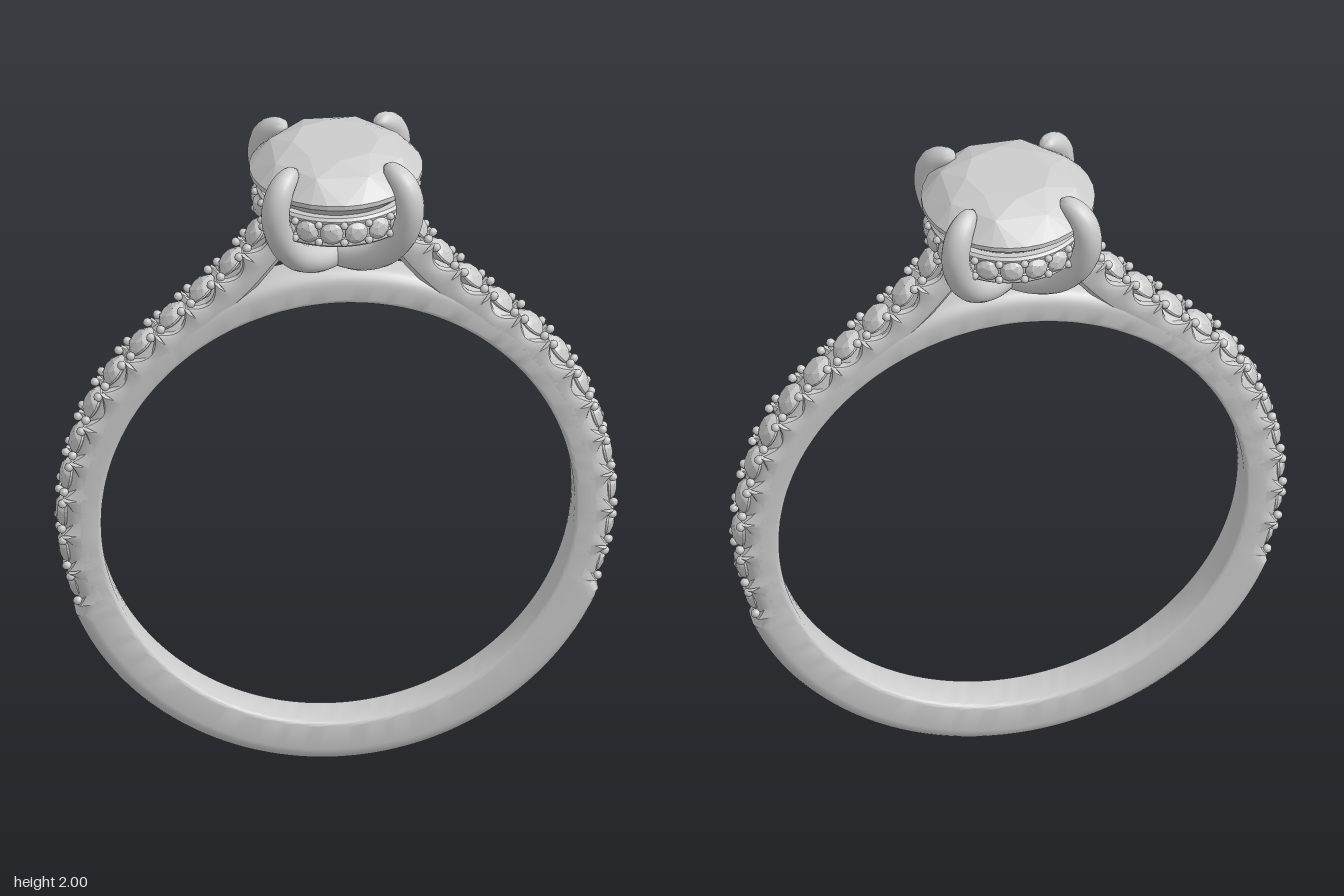
import * as THREE from 'three';
import { mergeGeometries, toCreasedNormals } from 'three/addons/utils/BufferGeometryUtils.js';
import { ConvexGeometry } from 'three/addons/geometries/ConvexGeometry.js';

const silver = new THREE.MeshStandardMaterial({ name: 'silver grey', color: 0xcccccc });
const V = (x, y, z) => new THREE.Vector3(x, y, z);

function mesh(name, geometry) {
  const m = new THREE.Mesh(geometry, silver);
  m.name = name;
  return m;
}

// Skin between cross-sections; each is a loop counter-clockwise about the path
function loft(sections, closed = false, crease = 0.6) {
  const n = sections[0].length, rows = sections.length, idx = [];
  const pos = sections.flat().flatMap((p) => [p.x, p.y, p.z]);
  for (let i = 0; i < (closed ? rows : rows - 1); i++) {
    const k = (i + 1) % rows;
    for (let j = 0; j < n; j++) {
      const q = (j + 1) % n;
      const a = i * n + j, b = i * n + q, c = k * n + j, d = k * n + q;
      idx.push(a, b, c, b, d, c);
    }
  }
  if (!closed) {
    const e = (rows - 1) * n;
    for (let j = 1; j < n - 1; j++) idx.push(0, j + 1, j, e, e + j, e + j + 1);
  }
  const g = new THREE.BufferGeometry();
  g.setAttribute('position', new THREE.Float32BufferAttribute(pos, 3));
  g.setIndex(idx);
  return toCreasedNormals(g, crease);
}

// Place [outward, z] pairs around a path point; the path lies in the xy plane
function section(p, t, pairs) {
  return pairs.map(([o, z]) => V(p.x + t.y * o, p.y - t.x * o, z));
}

// Faceted stone, girdle at y = 0
function stone(r, n, tableR, crown, pavilion, girdle) {
  const pts = [V(0, -pavilion, 0)];
  const ring = (count, radius, y, shift) => {
    for (let i = 0; i < count; i++) {
      const a = ((i + shift) / count) * Math.PI * 2;
      pts.push(V(Math.cos(a) * radius, y, Math.sin(a) * radius));
    }
  };
  ring(n, tableR, crown, 0);
  ring(n, r * 0.58 + tableR * 0.42, crown * 0.68, 0.5);
  ring(n * 4, r, 0, 0);
  ring(n * 4, r, -girdle, 0);
  return new ConvexGeometry(pts);
}

// Turn a geometry's y axis to a direction and move it
function placed(geometry, p, dir) {
  const q = new THREE.Quaternion().setFromUnitVectors(V(0, 1, 0), dir);
  return geometry.clone().applyQuaternion(q).translate(p.x, p.y, p.z);
}

function makeBand() {
  const rows = [], steps = 180, w = 0.066, inner = 0.6825;
  for (let i = 0; i < steps; i++) {
    const deg = (i / steps) * 360;
    const R = Math.min(deg, 360 - deg) < 69.5 ? 0.8125 : 0.786;
    const a = THREE.MathUtils.degToRad(deg - 90);
    const pairs = [];
    const corner = (cr, cz, r, start) => {
      for (let k = 0; k <= 5; k++) {
        const f = start + (k / 5) * Math.PI / 2;
        pairs.push([cr + Math.cos(f) * r, cz - Math.sin(f) * r]);
      }
    };
    corner(R - 0.042, w - 0.042, 0.042, -Math.PI / 2);
    corner(R - 0.042, -w + 0.042, 0.042, 0);
    corner(inner + 0.016, -w + 0.016, 0.016, Math.PI / 2);
    corner(inner + 0.016, w - 0.016, 0.016, Math.PI);
    rows.push(section(V(0, 0.8125, 0), V(-Math.sin(a), Math.cos(a), 0), pairs));
  }
  return mesh('band', loft(rows, true));
}

// Scalloped arm with a row of set stones
function makeShoulder() {
  const g = new THREE.Group();
  const curve = new THREE.CatmullRomCurve3([
    [0.737, 0.545], [0.752, 0.6], [0.778, 0.71], [0.787, 0.83], [0.775, 0.95], [0.748, 1.06], [0.707, 1.17],
    [0.65, 1.27], [0.575, 1.36], [0.49, 1.44], [0.4, 1.525], [0.31, 1.615], [0.235, 1.71], [0.2, 1.765],
  ].map(([x, y]) => V(x, y, 0)));
  const count = 12, per = 24, w = 0.066, rows = [];
  for (let i = 0; i <= count * per; i++) {
    const u = i / (count * per);
    const gap = Math.abs(((i % per) / per) - 0.5) * 2;
    const e = gap > 0.95 ? -0.014 : -0.024 + 0.042 * gap * gap;
    const half = [[-0.095, w - 0.02], [-0.08, w - 0.004], [-0.06, w], [e - 0.016, w], [e - 0.004, w - 0.005],
      [e, w - 0.014], [e - 0.002, 0.042], [-0.032, 0.036]];
    const pairs = [...half, ...half.map(([o, z]) => [o, -z]).reverse()];
    rows.push(section(curve.getPointAt(u), curve.getTangentAt(u), pairs));
  }
  g.add(mesh('shoulderArm', loft(rows)));

  const gem = stone(0.05, 5, 0.027, 0.02, 0.035, 0.006);
  const bead = new THREE.SphereGeometry(0.0135, 8, 6);
  const gems = [], beads = [];
  for (let k = 0; k < count; k++) {
    const u = (k + 0.5) / count, p = curve.getPointAt(u), t = curve.getTangentAt(u);
    const out = V(t.y, -t.x, 0);
    gems.push(placed(gem, p, out));
    for (const s of [-1, 1]) for (const z of [-0.046, 0.046]) {
      const b = p.clone().addScaledVector(t, s * 0.041).addScaledVector(out, 0.008);
      beads.push(placed(bead, b.setZ(z), out));
    }
  }
  g.add(mesh('shoulderStones', mergeGeometries(gems)), mesh('shoulderBeads', mergeGeometries(beads)));
  return g;
}

// Basket ring under the centre stone, set with small stones all round
function makeBasket() {
  const g = new THREE.Group();
  g.name = 'basket';
  const profile = [[0.17, 1.78], [0.18, 1.77], [0.222, 1.77], [0.23, 1.778], [0.228, 1.788], [0.212, 1.795],
    [0.212, 1.84], [0.228, 1.845], [0.23, 1.855], [0.222, 1.863], [0.18, 1.863], [0.17, 1.855], [0.17, 1.78]];
  const ring = new THREE.LatheGeometry(profile.map(([x, y]) => new THREE.Vector2(x, y)), 64);
  g.add(mesh('basketRing', toCreasedNormals(ring, 0.6)));
  const gem = stone(0.034, 4, 0.018, 0.014, 0.02, 0.004);
  const bead = new THREE.SphereGeometry(0.012, 8, 6);
  const gems = [], beads = [];
  for (let i = 0; i < 20; i++) {
    const a = ((i + 0.5) / 20) * Math.PI * 2, b = (i / 20) * Math.PI * 2;
    const out = V(Math.sin(a), 0, Math.cos(a)), mid = V(Math.sin(b), 0, Math.cos(b));
    gems.push(placed(gem, out.clone().multiplyScalar(0.23).setY(1.817), out));
    for (const y of [1.79, 1.845]) beads.push(placed(bead, mid.clone().multiplyScalar(0.234).setY(y), mid));
  }
  g.add(mesh('basketStones', mergeGeometries(gems)), mesh('basketBeads', mergeGeometries(beads)));
  return g;
}

// Claw curving from below the basket over the stone's edge
function makeProngGeometry() {
  const curve = new THREE.CatmullRomCurve3([
    [0, 1.636], [0.09, 1.65], [0.185, 1.7], [0.253, 1.785], [0.275, 1.87], [0.255, 1.935], [0.22, 1.965], [0.182, 1.98],
  ].map(([x, y]) => V(x, y, 0)));
  const rows = [], steps = 40;
  for (let i = 0; i <= steps; i++) {
    const u = i / steps;
    const r = u < 0.76 ? 0.041 : 0.006 + 0.035 * Math.sqrt(Math.max(0, 1 - ((u - 0.76) / 0.24) ** 2));
    const pairs = [];
    for (let j = 0; j < 16; j++) {
      const f = (j / 16) * Math.PI * 2;
      pairs.push([Math.cos(f) * r, -Math.sin(f) * r]);
    }
    rows.push(section(curve.getPointAt(u), curve.getTangentAt(u), pairs));
  }
  return loft(rows, false, 1);
}

export function createModel() {
  const model = new THREE.Group();
  model.name = 'ring';
  model.add(makeBand());

  const left = makeShoulder(), right = left.clone();
  left.name = 'leftShoulder';
  right.name = 'rightShoulder';
  right.rotation.y = Math.PI;
  model.add(left, right, makeBasket());

  const centre = mesh('centreStone', stone(0.25, 8, 0.125, 0.083, 0.225, 0.014));
  centre.position.y = 1.917;
  model.add(centre);

  const prong = makeProngGeometry();
  for (let i = 0; i < 4; i++) {
    const p = mesh('prong', prong);
    p.rotation.y = Math.PI / 4 + (i * Math.PI) / 2;
    model.add(p);
  }
  return model;
}
